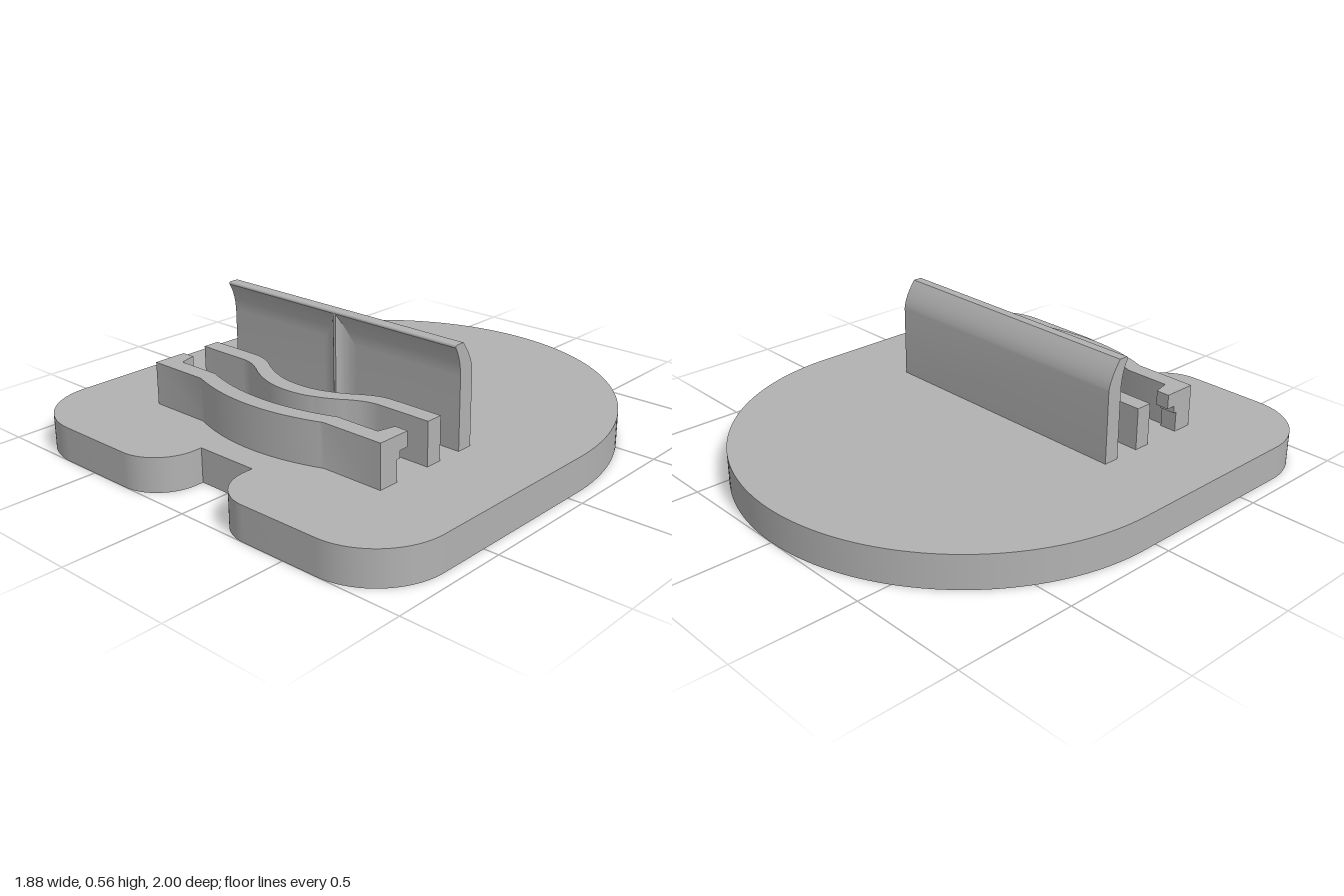
import * as THREE from 'three';
import { toCreasedNormals } from 'three/addons/utils/BufferGeometryUtils.js';

const BASE_TOP = 0.14;
const HALF = 0.585; // half length of the three rails

// Extrude a plan shape (x, -z) upward from y0 to y1
function extrudeUp(shape, y0, y1) {
  const g = new THREE.ExtrudeGeometry(shape, { depth: y1 - y0, bevelEnabled: false, curveSegments: 40 });
  g.rotateX(-Math.PI / 2).translate(0, y0, 0);
  return toCreasedNormals(g, 0.5);
}

// Extrude a side profile (-z, y) along x from x0 to x1
function extrudeAcross(shape, x0, x1) {
  const g = new THREE.ExtrudeGeometry(shape, { depth: x1 - x0, bevelEnabled: false, curveSegments: 12 });
  g.rotateY(Math.PI / 2).translate(x0, 0, 0);
  return g;
}

// Arched outline with rounded front corners and a notch
function baseShape() {
  const s = new THREE.Shape();
  s.moveTo(0.94, 0.06);
  s.absarc(0, 0.06, 0.94, 0, Math.PI, false);
  s.lineTo(-0.94, -0.71);
  s.absarc(-0.65, -0.71, 0.29, Math.PI, Math.PI * 1.5, false);
  s.lineTo(-0.315, -1);
  s.absarc(-0.315, -0.82, 0.18, -Math.PI / 2, 0, false);
  s.lineTo(-0.135, -0.785);
  s.lineTo(0.135, -0.785);
  s.lineTo(0.135, -0.82);
  s.absarc(0.315, -0.82, 0.18, Math.PI, Math.PI * 1.5, false);
  s.lineTo(0.65, -1);
  s.absarc(0.65, -0.71, 0.29, -Math.PI / 2, 0, false);
  s.closePath();
  return s;
}

// Rail of constant thickness whose middle bows forward by bow(|x|)
function railShape(zBack, thickness, reach, bow) {
  const line = [[-HALF, 0]];
  for (let i = 0; i <= 48; i++) {
    const x = -reach + (2 * reach * i) / 48;
    line.push([x, bow(Math.abs(x))]);
  }
  line.push([HALF, 0]);
  const back = line.map(([x, b]) => new THREE.Vector2(x, -(zBack + b)));
  const front = line.map(([x, b]) => new THREE.Vector2(x, -(zBack + thickness + b))).reverse();
  return new THREE.Shape([...back, ...front]);
}

export function createModel() {
  const group = new THREE.Group();
  const grey = new THREE.MeshStandardMaterial({ color: 0xb2b2b2 });
  grey.name = 'grey';
  const add = (name, geometry) => {
    const m = new THREE.Mesh(geometry, grey);
    m.name = name;
    group.add(m);
  };

  // Base plate with a shallow round recess underneath
  const ring = baseShape();
  ring.holes.push(new THREE.Path().absarc(0, 0.06, 0.76, 0, Math.PI * 2, true));
  add('baseRecessLayer', extrudeUp(ring, 0, 0.035));
  add('baseTopLayer', extrudeUp(baseShape(), 0.035, BASE_TOP));

  // Tall back rest: rounded back edge, lip curling forward
  const rest = new THREE.Shape();
  rest.moveTo(-0.12, BASE_TOP);
  rest.lineTo(-0.12, 0.44);
  rest.quadraticCurveTo(-0.125, 0.49, -0.175, 0.555);
  rest.lineTo(-0.212, 0.555);
  rest.quadraticCurveTo(-0.218, 0.555, -0.218, 0.545);
  rest.quadraticCurveTo(-0.19, 0.5, -0.187, 0.43);
  rest.lineTo(-0.187, BASE_TOP);
  rest.closePath();
  add('backRest', toCreasedNormals(extrudeAcross(rest, -HALF, HALF), 0.5));

  // Central rib with concave flanks
  const rib = new THREE.Shape();
  rib.moveTo(-0.08, -0.18);
  rib.lineTo(-0.08, -0.187);
  rib.quadraticCurveTo(-0.025, -0.189, -0.006, -0.217);
  rib.lineTo(0.006, -0.217);
  rib.quadraticCurveTo(0.025, -0.189, 0.08, -0.187);
  rib.lineTo(0.08, -0.18);
  rib.closePath();
  add('backRestRib', extrudeUp(rib, BASE_TOP, 0.55));

  // Middle rail with a deep S-curved bow
  const curve = new THREE.SplineCurve(
    [[-0.1, 0.107], [0, 0.12], [0.1, 0.107], [0.2, 0.065], [0.25, 0.034], [0.3, 0.01], [0.35, 0], [0.4, 0]]
      .map(([x, b]) => new THREE.Vector2(x, b)));
  const samples = curve.getPoints(140);
  const deepBow = (x) => Math.max(0, samples.reduce((a, p) => (Math.abs(p.x - x) < Math.abs(a.x - x) ? p : a)).y);
  add('middleRail', extrudeUp(railShape(0.295, 0.07, 0.36, deepBow), BASE_TOP, 0.315));

  // Front rail with a shallow bow
  const shallowBow = (x) => 0.06 * Math.max(0, 1 - (x / 0.32) ** 2);
  add('frontRail', extrudeUp(railShape(0.545, 0.07, 0.32, shallowBow), BASE_TOP, 0.315));

  // Stepped hooks at both ends of the front rail, inner faces tapered
  const hook = new THREE.Shape(
    [[0.545, 0.14], [0.53, 0.14], [0.53, 0.225], [0.515, 0.225], [0.515, 0.255], [0.475, 0.255], [0.475, 0.315], [0.545, 0.315]]
      .map(([z, y]) => new THREE.Vector2(-z, y)));
  for (const side of [-1, 1]) {
    const g = side > 0 ? extrudeAcross(hook, 0.51, HALF) : extrudeAcross(hook, -HALF, -0.51);
    const p = g.attributes.position;
    for (let i = 0; i < p.count; i++) {
      if (Math.abs(p.getX(i)) < 0.55) p.setX(i, side * (0.51 + (0.545 - p.getZ(i)) * 0.25));
    }
    g.computeVertexNormals();
    add(side > 0 ? 'leftHook' : 'rightHook', g);
  }
  return group;
}
